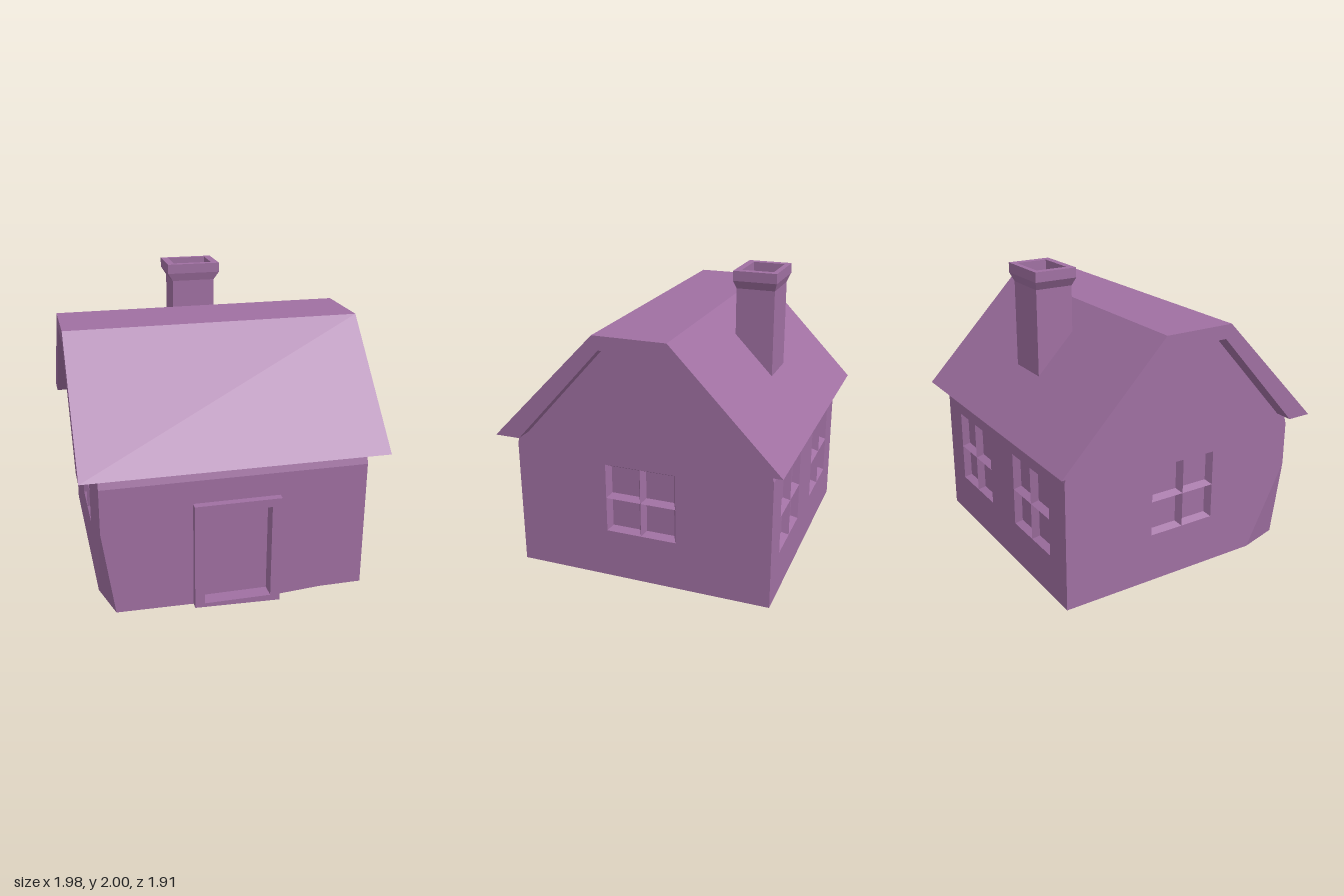
import * as THREE from 'three';

const material = new THREE.MeshStandardMaterial({ color: 0xa070a2, flatShading: true });

function addMesh(parent, name, geometry) {
  const mesh = new THREE.Mesh(geometry, material);
  mesh.name = name;
  parent.add(mesh);
  return mesh;
}

// Flat faces from convex polygons, corners anticlockwise seen from outside
function faces(polygons) {
  const positions = [];
  for (const p of polygons) {
    for (let i = 1; i < p.length - 1; i++) positions.push(...p[0], ...p[i], ...p[i + 1]);
  }
  const geometry = new THREE.BufferGeometry();
  geometry.setAttribute('position', new THREE.Float32BufferAttribute(positions, 3));
  geometry.computeVertexNormals();
  return geometry;
}

// Join rectangular rings [x0, x1, y0, y1, z] and close the last one
function loft(rings) {
  const loops = rings.map(([x0, x1, y0, y1, z]) => [[x0, y0, z], [x1, y0, z], [x1, y1, z], [x0, y1, z]]);
  const polygons = [loops[loops.length - 1]];
  for (let r = 0; r < loops.length - 1; r++) {
    for (let i = 0; i < 4; i++) {
      const j = (i + 1) % 4;
      polygons.push([loops[r][i], loops[r][j], loops[r + 1][j], loops[r + 1][i]]);
    }
  }
  return faces(polygons);
}

const outline = (points) => new THREE.Shape(points.map(([x, y]) => new THREE.Vector2(x, y)));

const rectHole = ([x0, x1, y0, y1]) =>
  new THREE.Path([[x0, y0], [x0, y1], [x1, y1], [x1, y0]].map(([x, y]) => new THREE.Vector2(x, y)));

// Wall facing +z locally, turned about y and moved out, with openings cut in it
function addWall(parent, name, points, holes, angle) {
  const wall = new THREE.Group();
  wall.name = name;
  wall.rotation.y = angle;
  wall.position.set(0.87 * Math.sin(angle), 0, 0.87 * Math.cos(angle));
  const shape = outline(points);
  holes.forEach((h) => shape.holes.push(rectHole(h)));
  addMesh(wall, name + 'Panel', new THREE.ShapeGeometry(shape));
  parent.add(wall);
  return wall;
}

// Four bevelled panes whose shared edges form the glazing bars
function addWindow(wall, [x0, x1, y0, y1]) {
  const w = (x1 - x0) / 2, h = (y1 - y0) / 2, b = 0.025;
  for (let i = 0; i < 2; i++) {
    for (let j = 0; j < 2; j++) {
      const x = x0 + i * w, y = y0 + j * h;
      addMesh(wall, 'windowPane', loft([
        [x, x + w, y, y + h, 0],
        [x + b, x + w - b, y + b, y + h - b, -0.045],
      ]));
    }
  }
}

export function createModel() {
  const house = new THREE.Group();
  house.name = 'house';

  // Gable walls, the one at -x with a cut lower front corner
  const sideWindow = [-0.24, 0.24, 0.365, 0.84];
  const gableTop = [[0.87, 0.9], [0.84, 1], [0.22, 1.66], [-0.22, 1.66], [-0.84, 1], [-0.87, 0.9], [-0.87, 0.03]];
  const leftWall = addWall(house, 'leftWall', [[0.87, 0.03], ...gableTop], [sideWindow], Math.PI / 2);
  const rightWall = addWall(house, 'rightWall', [[0.58, 0.03], [0.87, 0.6], ...gableTop], [sideWindow], -Math.PI / 2);
  addWindow(leftWall, sideWindow);
  addWindow(rightWall, sideWindow);

  // Back wall with two windows
  const backWindows = [[-0.665, -0.175, 0.315, 0.825], [0.175, 0.665, 0.315, 0.825]];
  const backWall = addWall(house, 'backWall',
    [[-0.87, 0.03], [0.87, 0.03], [0.87, 0.9], [-0.87, 0.9]], backWindows, Math.PI);
  backWindows.forEach((w) => addWindow(backWall, w));

  // Front wall with the doorway
  const doorway = [-0.22, 0.22, 0.045, 0.69];
  const frontWall = addWall(house, 'frontWall',
    [[-0.79, 0.03], [-0.28, 0.02], [0.28, 0.01], [0.58, 0.03], [0.87, 0.03], [0.87, 0.9], [-0.87, 0.9], [-0.87, 0.6]],
    [doorway], 0);
  addMesh(frontWall, 'door', loft([[...doorway, 0], [...doorway, -0.05]]));
  const frame = outline([[-0.285, 0.02], [0.285, 0], [0.285, 0.745], [-0.285, 0.745]]);
  frame.holes.push(rectHole(doorway));
  addMesh(frontWall, 'doorFrame', new THREE.ExtrudeGeometry(frame, { depth: 0.05, bevelEnabled: false }));

  // Sloped strips under the eaves, cut corner and underside
  addMesh(house, 'eaveStrips', faces([
    [[-0.87, 0.9, 0.87], [0.87, 0.9, 0.87], [0.87, 1, 0.84], [-0.87, 1, 0.84]],
    [[0.87, 0.9, -0.87], [-0.87, 0.9, -0.87], [-0.87, 1, -0.84], [0.87, 1, -0.84]],
  ]));
  addMesh(house, 'cutCorner', faces([[[-0.87, 0.6, 0.87], [-0.87, 0.03, 0.58], [-0.79, 0.03, 0.87]]]));
  addMesh(house, 'floor', faces([[
    [-0.87, 0.03, -0.87], [0.87, 0.03, -0.87], [0.87, 0.03, 0.87], [0.58, 0.03, 0.87],
    [0.28, 0.01, 0.87], [-0.28, 0.02, 0.87], [-0.79, 0.03, 0.87], [-0.87, 0.03, 0.58],
  ]]));

  // Flat-topped roof shell with overhanging eaves
  const half = [[0.24, 1.73], [0.955, 0.99], [0.785, 0.99], [0.2, 1.64]];
  const roofShape = outline([...half, ...half.map(([z, y]) => [-z, y]).reverse()]);
  const roof = addMesh(house, 'roof', new THREE.ExtrudeGeometry(roofShape, { depth: 1.98, bevelEnabled: false }));
  roof.rotation.y = Math.PI / 2;
  roof.position.x = -0.99;

  // Chimney with a flared rim and hollow top, built along z and stood upright
  const flue = [-0.135, 0.135, 0.42, 0.63];
  const chimney = addMesh(house, 'chimney', loft([
    [-0.15, 0.15, 0.39, 0.645, 1.2],
    [-0.15, 0.15, 0.39, 0.645, 1.88],
    [-0.185, 0.185, 0.375, 0.665, 1.935],
    [-0.185, 0.185, 0.375, 0.665, 2],
    [...flue, 2],
    [...flue, 1.8],
  ]));
  chimney.rotation.x = -Math.PI / 2;

  return house;
}
